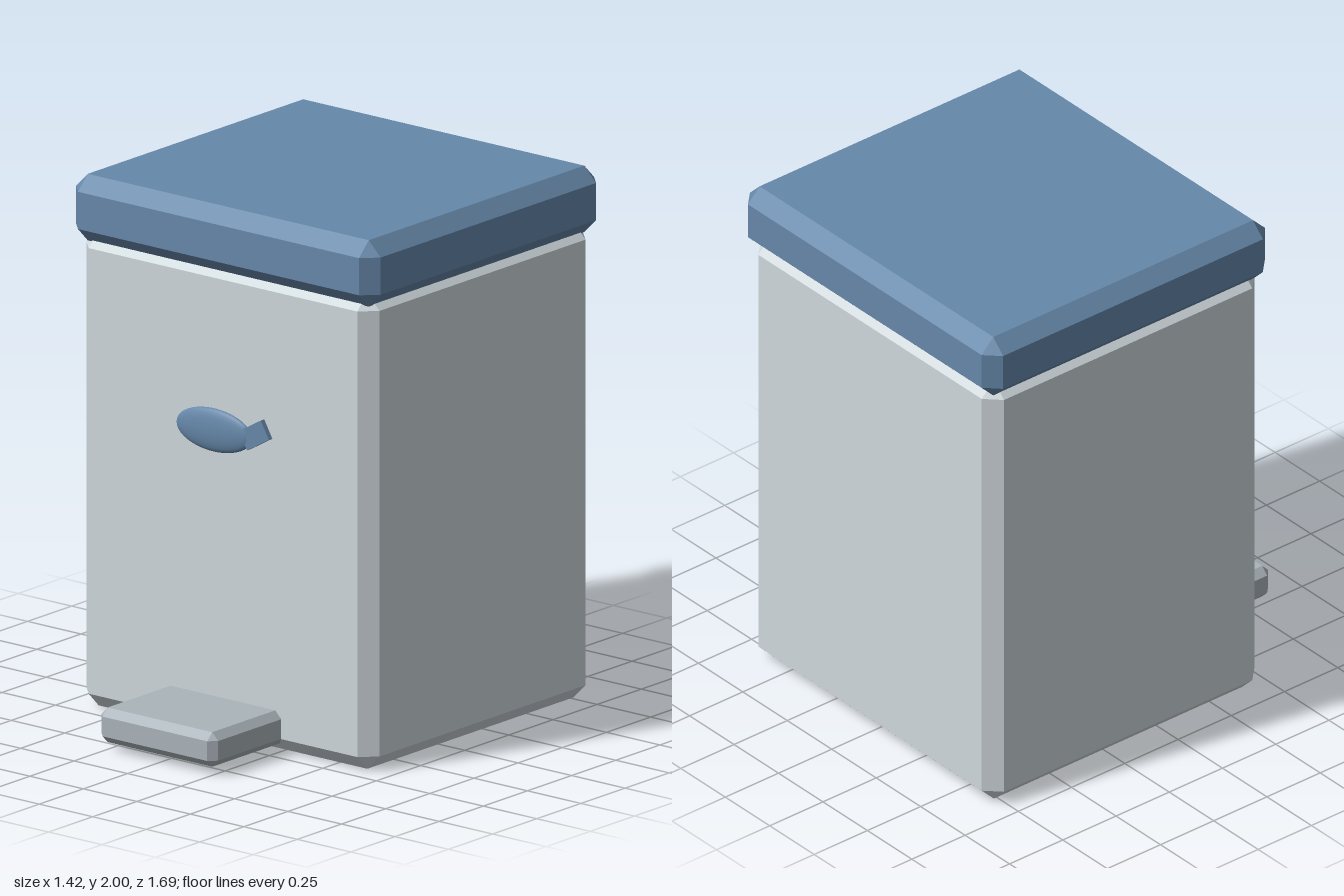
import * as THREE from 'three';
import { ConvexGeometry } from 'three/addons/geometries/ConvexGeometry.js';

// Box with flat chamfers on every edge and triangular corners
function chamferedBox(w, h, d, c) {
  const points = [];
  for (const sx of [-1, 1]) for (const sy of [-1, 1]) for (const sz of [-1, 1]) {
    for (let axis = 0; axis < 3; axis++) {
      const half = [w / 2 - c, h / 2 - c, d / 2 - c];
      half[axis] += c;
      points.push(new THREE.Vector3(sx * half[0], sy * half[1], sz * half[2]));
    }
  }
  return new ConvexGeometry(points);
}

export function createModel() {
  const model = new THREE.Group();
  const blue = new THREE.MeshStandardMaterial({ color: 0x6688aa });
  const blueFlat = new THREE.MeshStandardMaterial({ color: 0x6688aa, flatShading: true });
  const paleGrey = new THREE.MeshStandardMaterial({ color: 0xcfd8dc, flatShading: true });
  const midGrey = new THREE.MeshStandardMaterial({ color: 0xaab4ba, flatShading: true });

  function add(name, geometry, material, x, y, z, parent = model) {
    const mesh = new THREE.Mesh(geometry, material);
    mesh.name = name;
    mesh.position.set(x, y, z);
    parent.add(mesh);
    return mesh;
  }

  // Bin body, its top edge tucked into the lid
  add('body', chamferedBox(1.37, 1.79, 1.28, 0.057), paleGrey, 0, 0.895, -0.18);
  add('lid', chamferedBox(1.424, 0.25, 1.33, 0.055), blueFlat, 0, 1.875, -0.18);

  // Foot pedal running into the front of the body
  add('pedal', chamferedBox(0.545, 0.13, 0.44, 0.028), midGrey, 0, 0.095, 0.625);

  // Fish ornament: flattened ellipsoid with a tilted tail
  const fish = new THREE.Group();
  fish.name = 'fishOrnament';
  fish.position.set(0, 1.18, 0.51);
  model.add(fish);
  const fishBody = add('fishBody', new THREE.SphereGeometry(1, 32, 20), blue, 0, 0, 0, fish);
  fishBody.scale.set(0.175, 0.081, 0.025);
  const tail = add('fishTail', new THREE.BoxGeometry(0.118, 0.076, 0.02), blueFlat, 0.194, 0.018, 0, fish);
  tail.rotation.z = Math.PI / 6;

  return model;
}
